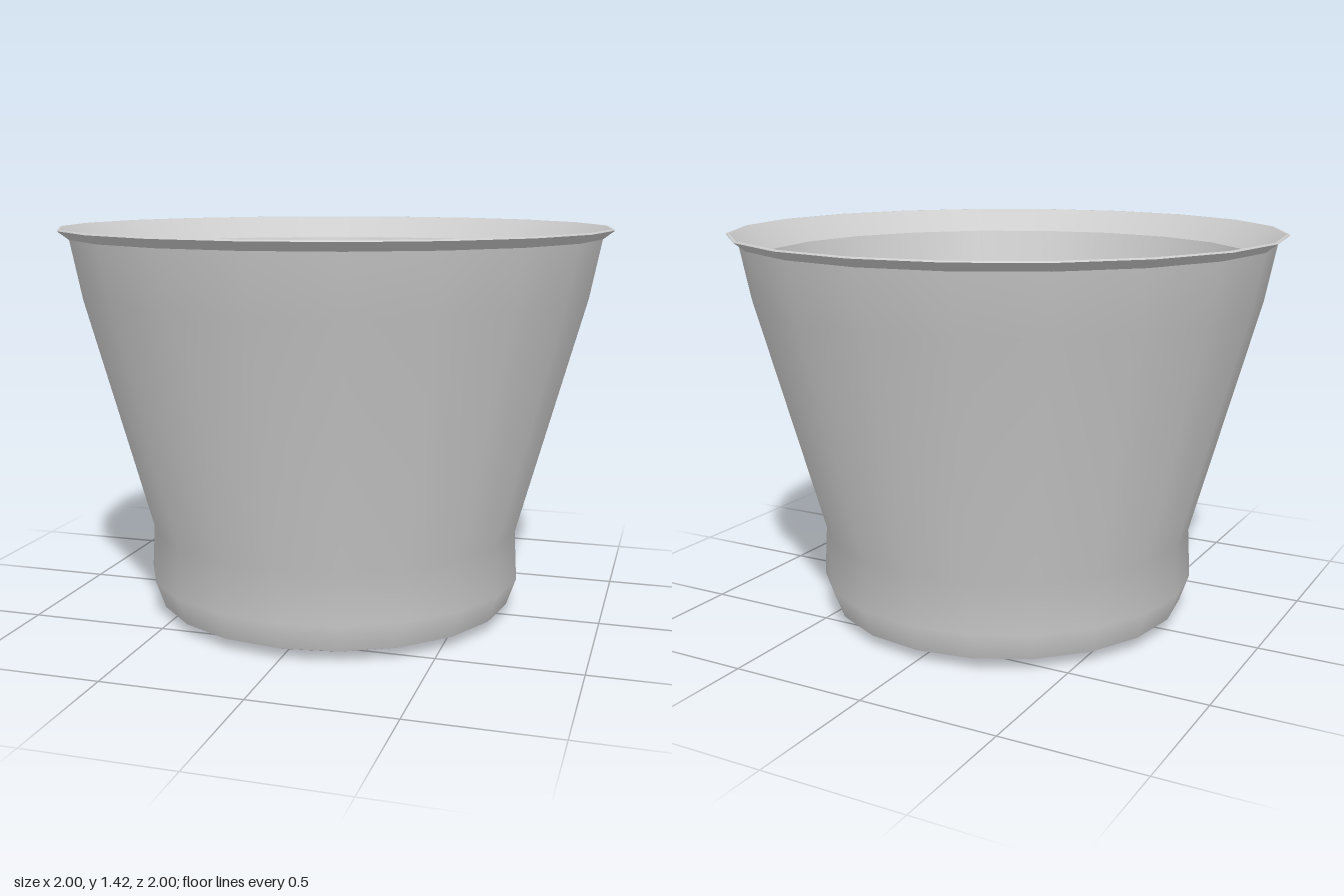
import * as THREE from 'three';

const SIDES = 20;

export function createModel() {
  const group = new THREE.Group();
  group.name = 'pot';
  const material = new THREE.MeshStandardMaterial({ color: 0xcccccc });

  // One smooth turned band per profile; edges between bands stay sharp.
  // Profiles run from under the base, up the outside, then down the inside.
  const turn = (name, profile) => {
    const points = profile.map(([r, y]) => new THREE.Vector2(r, y));
    const mesh = new THREE.Mesh(new THREE.LatheGeometry(points, SIDES), material);
    mesh.name = name;
    group.add(mesh);
  };

  // Underside with its shallow bevel
  turn('base', [[0, 0], [0.56, 0], [0.66, 0.04]]);
  // Rounded foot, pinched waist and flaring wall
  turn('outerWall', [[0.66, 0.04], [0.695, 0.14], [0.685, 0.32], [0.92, 1.18], [0.96, 1.385]]);
  // Thin flared lip
  turn('lipUnderside', [[0.96, 1.385], [1, 1.415]]);
  turn('lipEdge', [[1, 1.415], [0.997, 1.42], [0.99, 1.42]]);
  turn('lipInside', [[0.99, 1.42], [0.89, 1.335]]);
  // Tapered hollow and its floor
  turn('innerWall', [[0.89, 1.335], [0.575, 0.12]]);
  turn('innerFloor', [[0.575, 0.12], [0, 0.12]]);

  return group;
}
